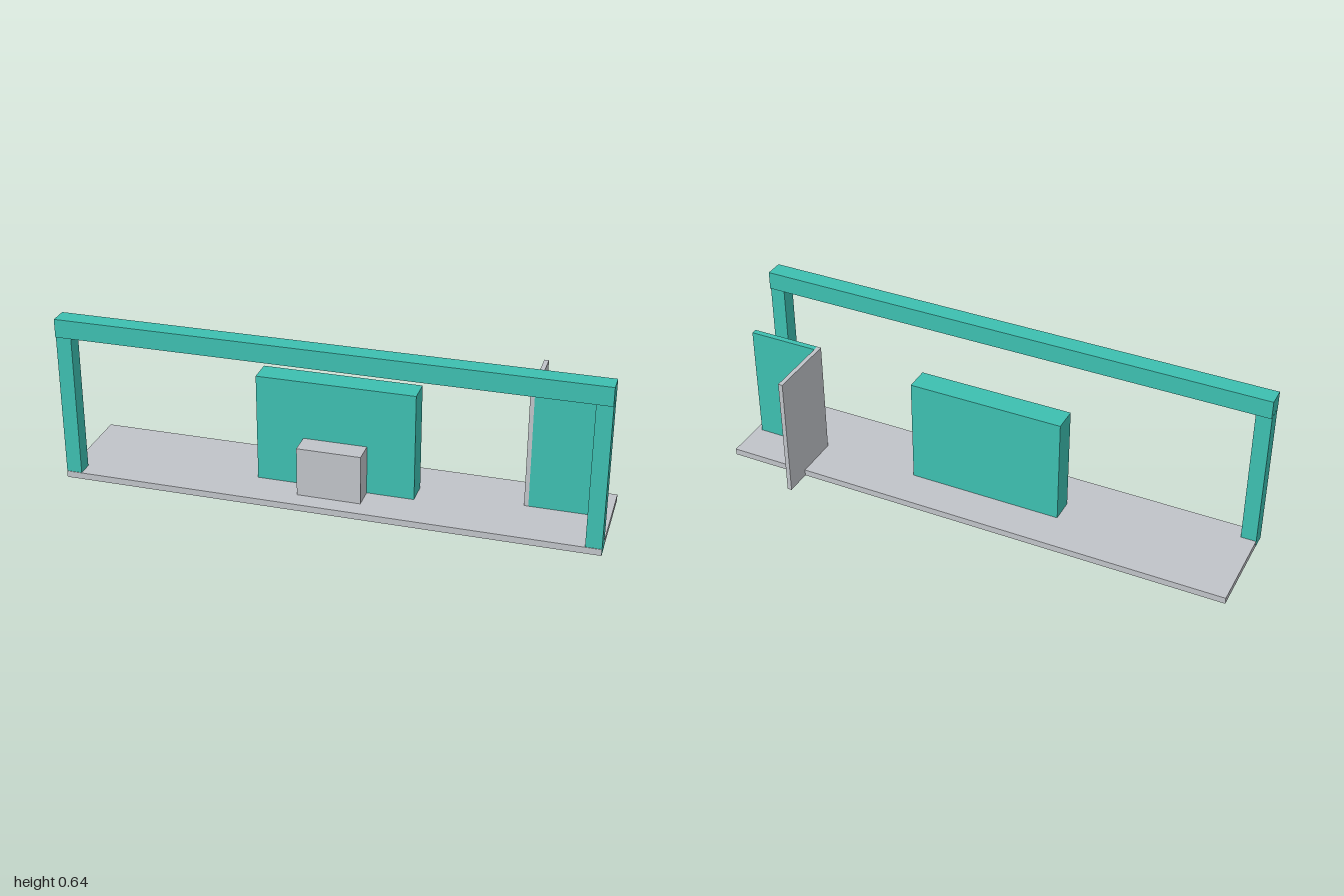
import * as THREE from 'three';

export function createModel() {
  const group = new THREE.Group();
  const material = (name, color) => {
    const m = new THREE.MeshStandardMaterial({ color });
    m.name = name;
    return m;
  };
  const teal = material('teal', 0x3dbfb0);
  const grey = material('light grey', 0xc0c3c8);

  // Box given by its [min, max] range on each axis
  const block = (name, mat, [x0, x1], [y0, y1], [z0, z1]) => {
    const mesh = new THREE.Mesh(new THREE.BoxGeometry(x1 - x0, y1 - y0, z1 - z0), mat);
    mesh.position.set((x0 + x1) / 2, (y0 + y1) / 2, (z0 + z1) / 2);
    mesh.name = name;
    group.add(mesh);
  };

  // Floor slab
  block('floor', grey, [-1, 1], [0, 0.025], [-0.15, 0.25]);

  // Front gateway: two posts and a slightly deeper beam
  block('leftPost', teal, [0.942, 1.0004], [-0.0004, 0.575], [0.189, 0.248]);
  block('rightPost', teal, [-1.0004, -0.942], [-0.0004, 0.575], [0.189, 0.248]);
  block('topBeam', teal, [-1, 1], [0.572, 0.642], [0.183, 0.253]);

  // Central wall with a counter before it
  block('backWall', teal, [-0.298, 0.298], [0.001, 0.44], [0.002, 0.095]);
  block('counter', grey, [-0.12, 0.12], [0.001, 0.214], [0.094, 0.18]);

  // Corner booth: front panel and a side panel overhanging the floor
  block('boothFrontPanel', teal, [0.704, 0.976], [0.001, 0.48], [0.003, 0.025]);
  block('boothSidePanel', grey, [0.688, 0.705], [0.0002, 0.48], [-0.252, 0.0245]);

  return group;
}
